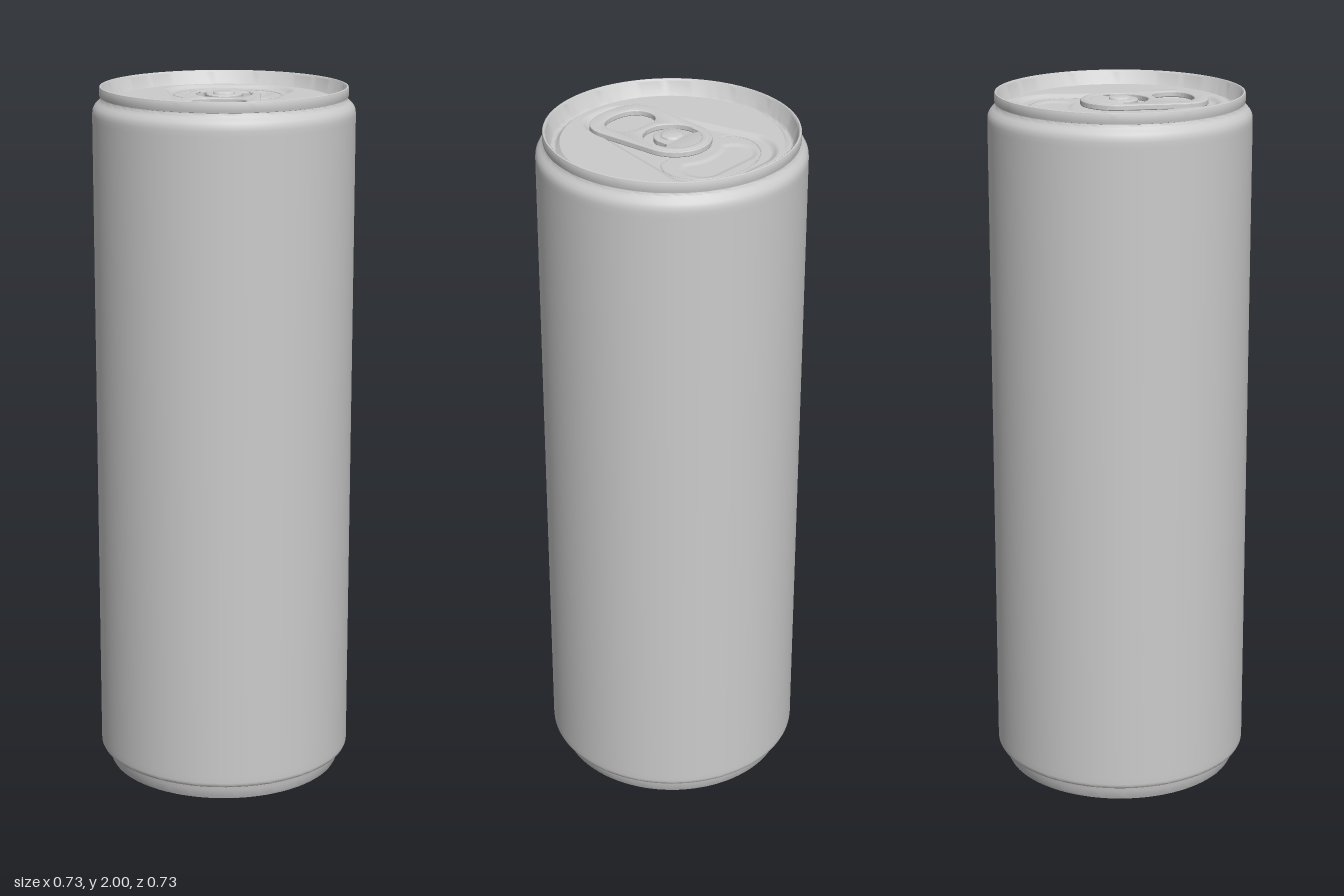
import * as THREE from 'three';
import { toCreasedNormals } from 'three/addons/utils/BufferGeometryUtils.js';

const material = new THREE.MeshStandardMaterial({ color: 0xcccccc });
const PANEL_Y = 1.965, RECESS = 0.01, PANEL_R = 0.3;
const lerp = THREE.MathUtils.lerp;

function add(group, name, geometry, y = 0) {
  const mesh = new THREE.Mesh(geometry, material);
  mesh.name = name;
  mesh.position.y = y;
  group.add(mesh);
  return mesh;
}

function lathe(points, segments = 128) {
  const profile = points.map(([r, y]) => new THREE.Vector2(r, y));
  return toCreasedNormals(new THREE.LatheGeometry(profile, segments), 0.7);
}

// Signed distance to the teardrop recess that holds the tab and the opening
function teardrop(x, z) {
  const t = THREE.MathUtils.clamp((z + 0.16) / 0.36, 0, 1);
  const dx = Math.max(Math.abs(x) - lerp(0.06, 0.02, t), 0);
  return Math.hypot(dx, z - lerp(-0.16, 0.2, t)) - lerp(0.122, 0.08, t);
}

// Signed distance to the bean-shaped dent pressed into the opening
function bean(x, z) {
  const pill = Math.hypot(Math.max(Math.abs(x) - 0.066, 0), z + 0.165) - 0.057;
  return Math.max(pill, 0.135 - Math.hypot(x, z));
}

// Lid panel: a disc pressed down inside the two outlines
function panelGeometry() {
  const g = new THREE.RingGeometry(0.0005, PANEL_R, 192, 75);
  g.rotateX(-Math.PI / 2);
  const p = g.attributes.position;
  for (let i = 0; i < p.count; i++) {
    const x = p.getX(i), z = p.getZ(i);
    const recess = 1 - THREE.MathUtils.smoothstep(teardrop(x, z), -0.018, 0.002);
    const dent = 1 - THREE.MathUtils.smoothstep(bean(x, z), -0.012, 0.004);
    p.setY(i, -RECESS * recess - 0.004 * dent);
  }
  g.computeVertexNormals();
  return g;
}

// Pull tab, drawn with shape y running along model z
function tabGeometry() {
  const b = 0.003;
  const s = new THREE.Shape();
  s.absarc(0, -0.01, 0.1 - b, Math.PI, Math.PI * 2, false);
  s.lineTo(0.112 - b, 0.16);
  s.bezierCurveTo(0.112 - b, 0.215, 0.07, 0.245 - b, 0, 0.245 - b);
  s.bezierCurveTo(-0.07, 0.245 - b, -0.112 + b, 0.215, -0.112 + b, 0.16);
  s.closePath();

  // finger hole
  const hole = new THREE.Path();
  const hw = 0.075 + b, top = 0.1 - b, bottom = 0.207 + b, mid = 0.153;
  hole.moveTo(-hw, mid);
  hole.bezierCurveTo(-hw, 0.118, -0.055, top, -0.025, top);
  hole.lineTo(0.025, top);
  hole.bezierCurveTo(0.055, top, hw, 0.118, hw, mid);
  hole.bezierCurveTo(hw, 0.188, 0.05, bottom, 0, bottom);
  hole.bezierCurveTo(-0.05, bottom, -hw, 0.188, -hw, mid);

  // U-shaped slot around the rivet
  const slot = new THREE.Path();
  const ro = 0.078 + b, ri = 0.05 - b, rm = (ro + ri) / 2, rc = (ro - ri) / 2;
  slot.absarc(0, 0, ro, 0, Math.PI, false);
  slot.absarc(-rm, -0.018, rc, Math.PI, Math.PI * 2, false);
  slot.absarc(0, 0, ri, Math.PI, 0, true);
  slot.absarc(rm, -0.018, rc, Math.PI, Math.PI * 2, false);
  slot.closePath();

  s.holes.push(hole, slot);
  const g = new THREE.ExtrudeGeometry(s, {
    depth: 0.01, bevelEnabled: true, bevelSize: b, bevelThickness: b,
    bevelSegments: 3, curveSegments: 24,
  });
  g.rotateX(Math.PI / 2);
  return toCreasedNormals(g, 0.6);
}

export function createModel() {
  const can = new THREE.Group();
  can.name = 'drinkCan';

  // Domed underside, listed from the centre outwards
  const dome = [];
  for (let i = 0; i <= 16; i++) {
    const r = 0.3 * i / 16;
    dome.push([r, 0.02 + 0.075 * (1 - (r / 0.3) ** 2)]);
  }
  add(can, 'base', lathe([
    ...dome, [0.312, 0.008], [0.322, 0.001], [0.329, 0], [0.335, 0.002],
    [0.339, 0.01], [0.343, 0.03], [0.345, 0.042], [0.35, 0.046],
  ]));

  // Straight wall with rounded ends
  add(can, 'body', lathe([
    [0.35, 0.046], [0.358, 0.047], [0.363, 0.05], [0.3655, 0.055], [0.366, 0.062], [0.366, 0.08],
    [0.366, 1.91], [0.366, 1.925], [0.3645, 1.937], [0.36, 1.946],
    [0.352, 1.955], [0.344, 1.962], [0.341, 1.968], [0.341, 1.972],
  ]));

  // Seamed rim, inner wall and the channel around the panel
  add(can, 'rim', lathe([
    [0.341, 1.97], [0.345, 1.971], [0.346, 1.975], [0.346, 1.995],
    [0.3445, 1.999], [0.341, 2], [0.338, 1.998], [0.336, 1.993],
    [0.325, 1.957], [0.321, 1.953], [0.314, 1.952], [0.309, 1.955],
    [0.304, 1.962], [PANEL_R, PANEL_Y],
  ]));

  // Lid
  const lid = new THREE.Group();
  lid.name = 'lid';
  can.add(lid);
  add(lid, 'lidPanel', panelGeometry(), PANEL_Y);

  // Score line of the opening, mirrored about x = 0
  const half = [[0.085, -0.063], [0.125, -0.073], [0.15, -0.108], [0.15, -0.155], [0.121, -0.207], [0.065, -0.243]];
  const outline = [...half, [0, -0.252], ...half.map(([x, z]) => [-x, z]).reverse()];
  const curve = new THREE.CatmullRomCurve3(outline.map(([x, z]) => new THREE.Vector3(x, 0, z)));
  add(lid, 'openingScore', new THREE.TubeGeometry(curve, 96, 0.002, 6), PANEL_Y - RECESS);

  // Pull tab with its raised nose and rivet
  const tab = new THREE.Group();
  tab.name = 'pullTab';
  can.add(tab);
  const tabTop = 1.977;
  add(tab, 'tabPlate', tabGeometry(), tabTop - 0.003);
  const nose = new THREE.TorusGeometry(0.083, 0.012, 10, 40, Math.PI);
  nose.rotateX(-Math.PI / 2).scale(1, 0.3, 1).translate(0, 0, -0.01);
  add(tab, 'tabNose', nose, tabTop - 0.001);
  add(tab, 'rivet', lathe([
    [0.031, -0.02], [0.031, 0.003], [0.029, 0.0055], [0.025, 0.0065], [0, 0.0065],
  ], 40), tabTop);
  return can;
}
